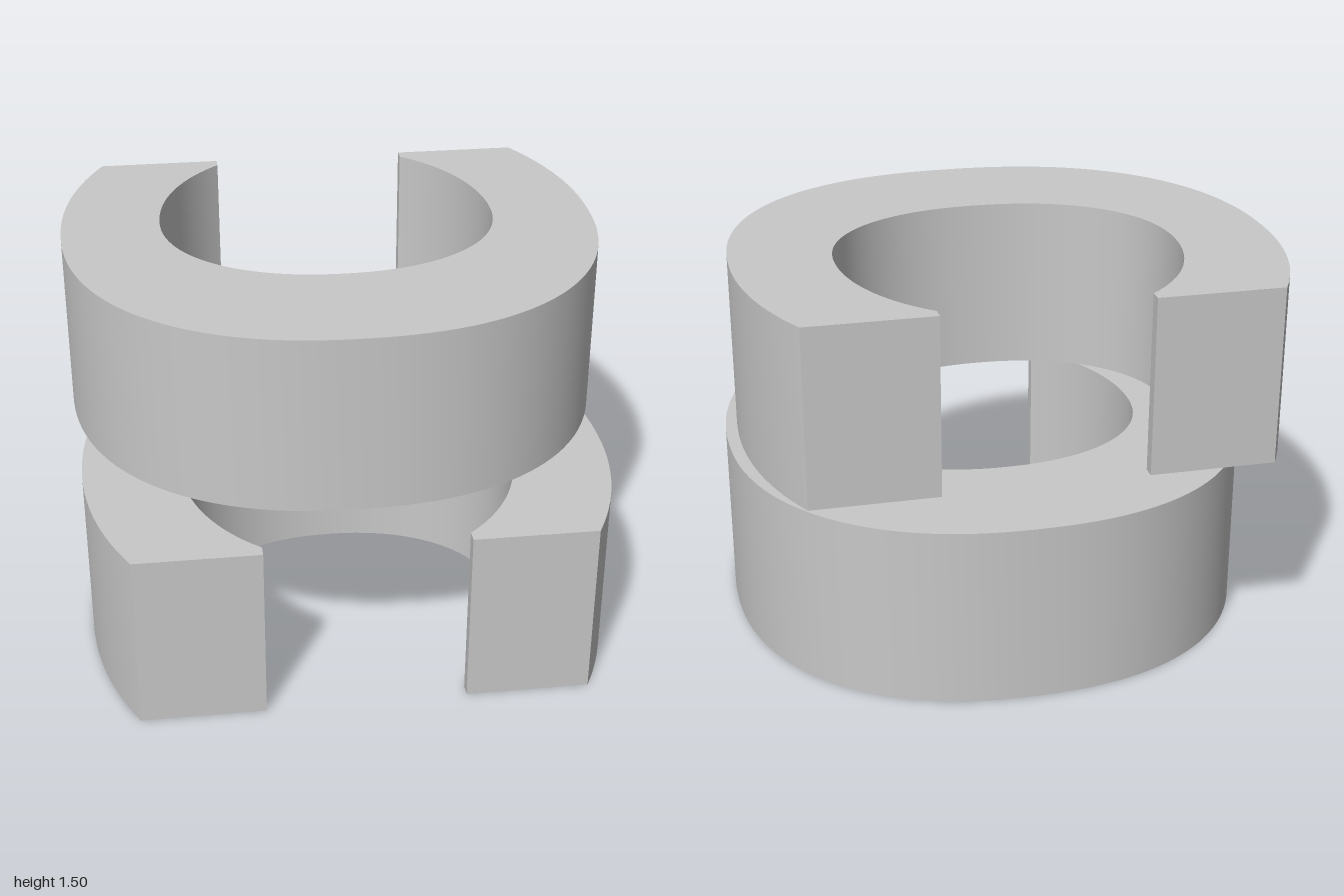
import * as THREE from 'three';
import { toCreasedNormals } from 'three/addons/utils/BufferGeometryUtils.js';

const END = -0.822; // z of the two flat end faces
const CX = -0.01;

// Half-oval arc: full and rounded towards +z (closed side), longer towards the open ends.
// power above 2 makes the closed side fuller than an ellipse.
function arc(rx, cz, front, power, back, endZ, steps = 96) {
  const a = Math.asin((cz - endZ) / back);
  const pts = [];
  for (let i = 0; i <= steps; i++) {
    const t = -a + (Math.PI + 2 * a) * i / steps;
    let c = Math.cos(t), s = Math.sin(t);
    if (s > 0) {
      c = Math.sign(c) * Math.abs(c) ** (2 / power);
      s = s ** (2 / power);
    }
    pts.push(new THREE.Vector2(CX + rx * c, cz + s * (s > 0 ? front : back)));
  }
  return pts;
}

// C-shaped ring open towards -z, with short straight lips at the mouth
function cRing(bottom, top) {
  const outer = arc(0.99, -0.18, 1.006, 2.28, 1.17, END);
  const inner = arc(0.625, -0.215, 0.532, 2.16, 0.695, -0.775).reverse();
  const lip = (p) => new THREE.Vector2(p.x, END);
  const outline = [...outer, lip(inner[0]), ...inner, lip(inner[inner.length - 1])];
  const geo = new THREE.ExtrudeGeometry(new THREE.Shape(outline), {
    depth: top - bottom, bevelEnabled: false,
  });
  geo.rotateX(Math.PI / 2).translate(0, top, 0);
  return toCreasedNormals(geo, 0.4);
}

export function createModel() {
  const model = new THREE.Group();
  model.name = 'splitRings';
  const grey = new THREE.MeshStandardMaterial({ color: 0xc8c8c8 });
  grey.name = 'plain grey';

  // Upper ring opens to the back
  const upper = new THREE.Mesh(cRing(0.842, 1.497), grey);
  upper.name = 'upperRing';

  // Lower ring is slightly taller and turned to open to the front
  const lower = new THREE.Mesh(cRing(0, 0.68), grey);
  lower.name = 'lowerRing';
  lower.rotation.y = Math.PI;

  model.add(upper, lower);
  return model;
}
